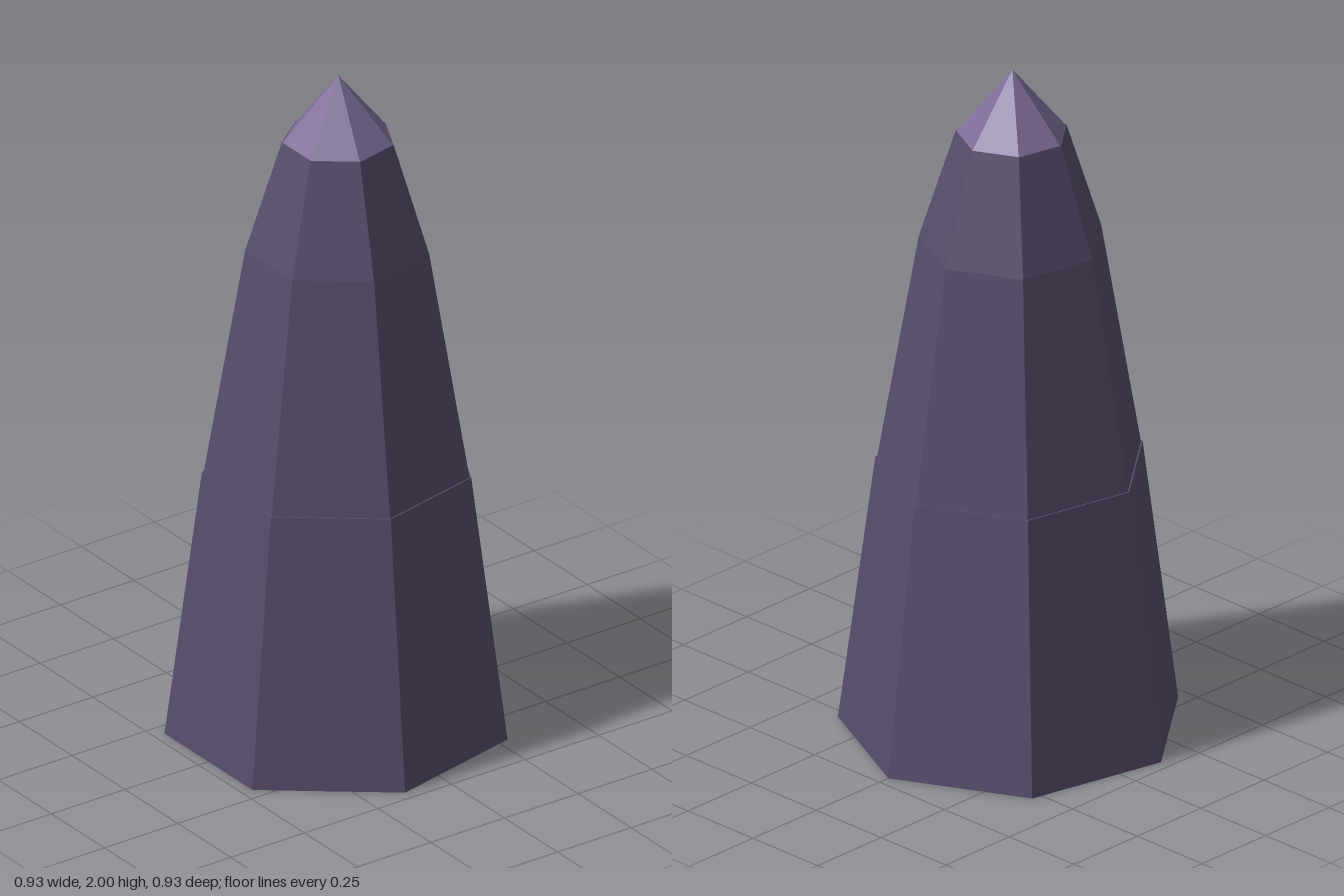
import * as THREE from 'three';

const SIDES = 7;

export function createModel() {
  const model = new THREE.Group();
  model.name = 'crystalObelisk';

  const stone = new THREE.MeshStandardMaterial({ color: 0x584c6b, flatShading: true });
  stone.name = 'dark violet stone';
  const crystal = new THREE.MeshStandardMaterial({ color: 0x7d6c98, flatShading: true });
  crystal.name = 'pale violet crystal';

  // One seven-sided tapered section, with a corner pointing to +x
  function section(name, material, y0, y1, r0, r1) {
    const geometry = new THREE.CylinderGeometry(r1, r0, y1 - y0, SIDES, 1, false, Math.PI / 2);
    geometry.scale(1, 1, 0.977);
    geometry.translate(-0.025, (y0 + y1) / 2, 0);
    const mesh = new THREE.Mesh(geometry, material);
    mesh.name = name;
    model.add(mesh);
  }

  // Shaft, with a fine ledge where the base meets the middle
  section('base', stone, 0, 0.8, 0.49, 0.385);
  section('middle', stone, 0.8, 1.48, 0.38, 0.263);
  section('shoulder', stone, 1.48, 1.805, 0.263, 0.16);

  // Pointed cap
  section('tip', crystal, 1.805, 2, 0.157, 0);

  return model;
}
